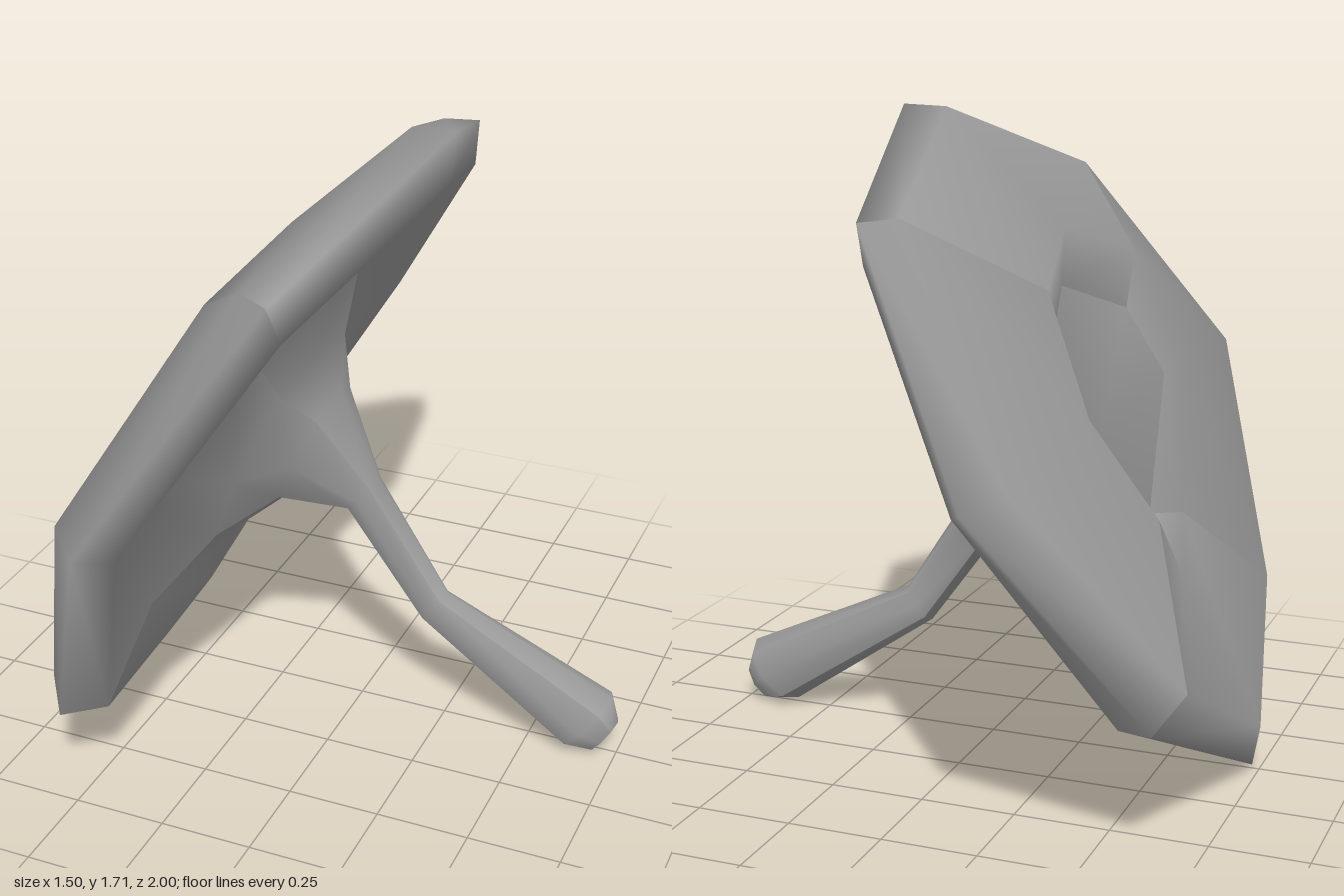
import * as THREE from 'three';
import { mergeGeometries } from 'three/addons/utils/BufferGeometryUtils.js';

const SIDES = 8;
const CENTER = new THREE.Vector3(-0.27, 0.85, 0);
const SLOPE = new THREE.Vector3(0.52, 0.855, 0); // uphill direction in the cap plane
const AXIS = new THREE.Vector3(-0.855, 0.52, 0); // out of the top of the cap

// A point on the tilted cap: distance uphill, z, height along the cap axis
function capPoint([up, z, h]) {
  const p = CENTER.clone().addScaledVector(SLOPE, up).addScaledVector(AXIS, h);
  p.z += z;
  return p;
}

const capRing = (corners) => corners.map(capPoint);

// An oval ring spanning an upper and a lower point, with a half width in z
function stemRing([x1, y1, x2, y2, w]) {
  return Array.from({ length: SIDES }, (_, k) => {
    const angle = (k / SIDES) * Math.PI * 2;
    const c = Math.cos(angle) / 2;
    return new THREE.Vector3((x1 + x2) / 2 + (x1 - x2) * c, (y1 + y2) / 2 + (y1 - y2) * c, w * Math.sin(angle));
  });
}

function smoothGeometry(points, index) {
  const geometry = new THREE.BufferGeometry().setFromPoints(points);
  geometry.setIndex(index);
  geometry.computeVertexNormals();
  return geometry;
}

// One smooth strip, two sides wide, running over all the rings
function strip(rings, start) {
  const points = rings.flatMap((ring) => [0, 1, 2].map((j) => ring[(start + j) % SIDES]));
  const index = [];
  for (let i = 0; i + 1 < rings.length; i++) {
    for (let j = 0; j < 2; j++) {
      const a = i * 3 + j, b = a + 3;
      index.push(a, a + 1, b + 1, a, b + 1, b);
    }
  }
  return smoothGeometry(points, index);
}

// A lid over one ring; flip turns it to face the other way
function lid(ring, middle, flip) {
  const index = [];
  for (let k = 0; k < SIDES; k++) {
    const n = (k + 1) % SIDES;
    index.push(SIDES, ...(flip ? [k, n] : [n, k]));
  }
  return smoothGeometry([...ring, middle], index);
}

export function createModel() {
  const group = new THREE.Group();
  group.name = 'mushroom';
  const material = new THREE.MeshStandardMaterial({ color: 0x9b9b9b });
  const add = (name, geometry) => {
    const mesh = new THREE.Mesh(geometry, material);
    mesh.name = name;
    group.add(mesh);
  };

  // Edge of the sunken crown, deepest at the low side
  const crown = capRing([
    [0.385, 0, 0.14], [0.256, 0.3, 0.156], [0.05, 0.33, 0.15], [-0.27, 0.26, -0.06],
    [-0.36, 0, -0.085], [-0.215, -0.26, 0.092], [0.05, -0.33, 0.15], [0.256, -0.3, 0.156],
  ]);
  // Rounded ridge around the crown
  const ridge = capRing([
    [0.51, 0, 0.225], [0.38, 0.35, 0.24], [0.06, 0.42, 0.2], [-0.314, 0.33, 0],
    [-0.42, 0, 0.045], [-0.236, -0.33, 0.196], [0.06, -0.42, 0.2], [0.38, -0.35, 0.24],
  ]);
  // Warped rim, drooping on one lower side and curling up on the other
  const rimTop = capRing([
    [0.935, 0, 0.1], [0.68, 0.66, 0.13], [0.03, 0.93, 0.155], [-0.625, 0.66, 0.006],
    [-0.874, 0, 0.03], [-0.59, -0.65, 0.18], [0.03, -0.93, 0.155], [0.68, -0.66, 0.13],
  ]);
  const rimEdge = capRing([
    [1, 0, 0], [0.719, 0.705, 0.05], [0.03, 1, 0.065], [-0.68, 0.71, -0.075],
    [-0.957, 0, -0.043], [-0.635, -0.71, 0.075], [0.03, -1, 0.065], [0.719, -0.705, 0.05],
  ]);
  const rimUnder = capRing([
    [0.867, 0, -0.06], [0.63, 0.65, -0.015], [0.03, 0.9, -0.005], [-0.615, 0.64, -0.16],
    [-0.855, 0, -0.12], [-0.6, -0.65, -0.02], [0.03, -0.9, -0.005], [0.63, -0.65, -0.015],
  ]);
  // Hollow of the underside
  const hollow = capRing([
    [0.6, 0, 0.075], [0.42, 0.42, 0.12], [0, 0.6, 0.09], [-0.42, 0.44, -0.08],
    [-0.6, 0, -0.13], [-0.44, -0.44, -0.02], [0, -0.6, 0.09], [0.42, -0.42, 0.12],
  ]);

  // Stem from its flared root to the foot
  const stem = [
    [-0.1, 1.1, -0.38, 0.46, 0.3],
    [-0.06, 0.95, -0.22, 0.6, 0.16],
    [0.05, 0.7, -0.04, 0.6, 0.055],
    [0.25, 0.39, 0.18, 0.3, 0.045],
    [0.73, 0.17, 0.6, 0.01, 0.09],
    [0.75, 0.1, 0.68, 0, 0.05],
  ].map(stemRing);

  // Cap and stem share one skin, creased along four lines
  const rings = [crown, ridge, rimTop, rimEdge, rimUnder, hollow, ...stem];
  add('capAndStem', mergeGeometries([1, 3, 5, 7].map((start) => strip(rings, start))));
  add('crown', lid(crown, capPoint([0, 0, 0.04]), false));
  add('footEnd', lid(stem.at(-1), new THREE.Vector3(0.715, 0.05, 0), true));
  return group;
}
